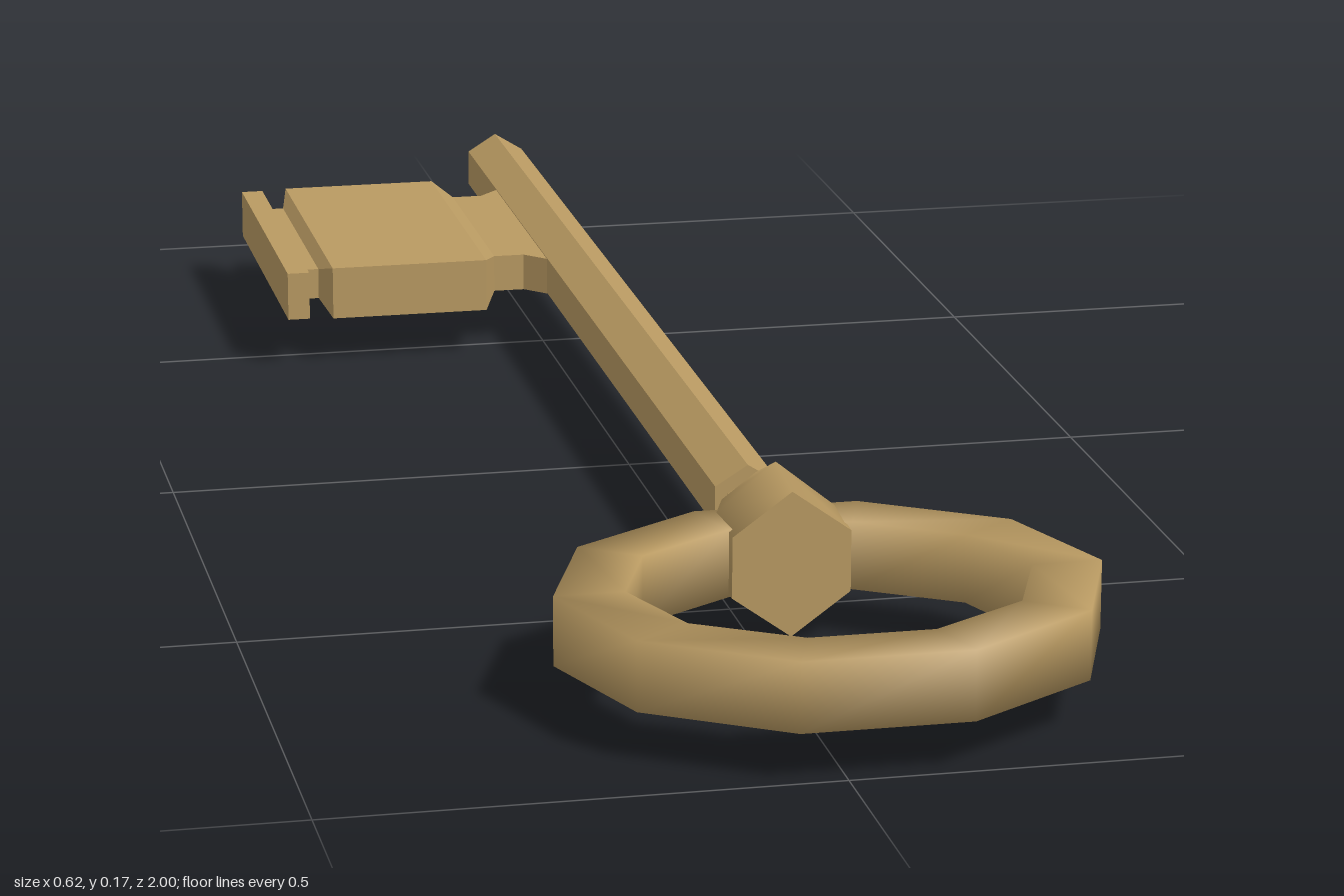
import * as THREE from 'three';

const AXIS_X = 0.035, MID_Y = 0.085;

// Skins equal cross-sections, each wound counter-clockwise about the travel direction.
function loft(sections, { closed = false, flat = false } = {}) {
  const n = sections[0].length, m = sections.length;
  const pos = sections.flat(2), idx = [];
  for (let i = 0; i < (closed ? m : m - 1); i++) {
    for (let j = 0; j < n; j++) {
      const k = (j + 1) % n, next = ((i + 1) % m) * n;
      const a = i * n + j, b = i * n + k, c = next + j, d = next + k;
      idx.push(a, b, c, b, d, c);
    }
  }
  if (!closed) {
    // End caps get their own vertices so their rims stay sharp
    [sections[0], sections[m - 1]].forEach((loop, end) => {
      const base = pos.length / 3;
      pos.push(...loop.flat());
      for (let j = 1; j < n - 1; j++) {
        if (end) idx.push(base, base + j, base + j + 1);
        else idx.push(base, base + j + 1, base + j);
      }
    });
  }
  let geo = new THREE.BufferGeometry();
  geo.setAttribute('position', new THREE.Float32BufferAttribute(pos, 3));
  geo.setIndex(idx);
  if (flat) geo = geo.toNonIndexed();
  geo.computeVertexNormals();
  return geo;
}

export function createModel() {
  const brass = new THREE.MeshStandardMaterial({ color: 0xb99a62 });
  brass.name = 'brass';
  const key = new THREE.Group();
  key.name = 'key';
  const add = (name, geo) => {
    const mesh = new THREE.Mesh(geo, brass);
    mesh.name = name;
    key.add(mesh);
    return mesh;
  };

  // Bow: ten-sided oval ring with a square section and soft normals
  const ring = [];
  for (let i = 0; i < 10; i++) {
    const u = (i / 10) * Math.PI * 2;
    const at = (rx, rz, y) => [AXIS_X + 0.002 + Math.cos(u) * rx, MID_Y + y, 0.77 + Math.sin(u) * rz];
    ring.push([at(0.27, 0.242, -0.035), at(0.27, 0.242, 0.035), at(0.2, 0.174, 0.035), at(0.2, 0.174, -0.035)]);
  }
  add('bow', loft(ring, { closed: true }));

  // Collar: pointed six-sided knuckle joining bow and shaft [z, half width, half height]
  const collar = [
    [0.448, 0.028, 0.03],
    [0.46, 0.035, 0.046],
    [0.548, 0.06, 0.084],
    [0.62, 0.06, 0.075],
  ].map(([z, w, h]) => [[0, -h], [w, -h * 0.42], [w, h * 0.42], [0, h], [-w, h * 0.42], [-w, -h * 0.42]]
    .map(([x, y]) => [AXIS_X + x, MID_Y + y, z]));
  add('collar', loft(collar));

  // Hexagonal rods along z, a point at top and bottom
  const rod = (name, radius, z0, z1) => {
    const geo = new THREE.CylinderGeometry(radius, radius, z1 - z0, 6).toNonIndexed();
    geo.rotateX(Math.PI / 2);
    geo.scale(0.93, 1, 1);
    geo.computeVertexNormals();
    add(name, geo).position.set(AXIS_X, MID_Y + 0.001, (z0 + z1) / 2);
  };
  rod('neck', 0.026, 0.41, 0.46);
  rod('shaft', 0.042, -1, 0.425);

  // Bit: stepped plate growing sideways from the shaft [x, half length, half thickness]
  const bit = [
    [-0.308, 0.192, 0.0275],
    [-0.283, 0.192, 0.0275],
    [-0.283, 0.142, 0.0175],
    [-0.265, 0.142, 0.0175],
    [-0.255, 0.188, 0.03],
    [-0.075, 0.188, 0.03],
    [-0.057, 0.14, 0.021],
    [-0.022, 0.14, 0.021],
    [0.002, 0.165, 0.021],
    [0.025, 0.165, 0.021],
  ].map(([x, l, t]) => [[-t, -l], [t, -l], [t, l], [-t, l]]
    .map(([y, z]) => [x, MID_Y + y, -0.643 + z]));
  add('bit', loft(bit, { flat: true }));

  return key;
}
